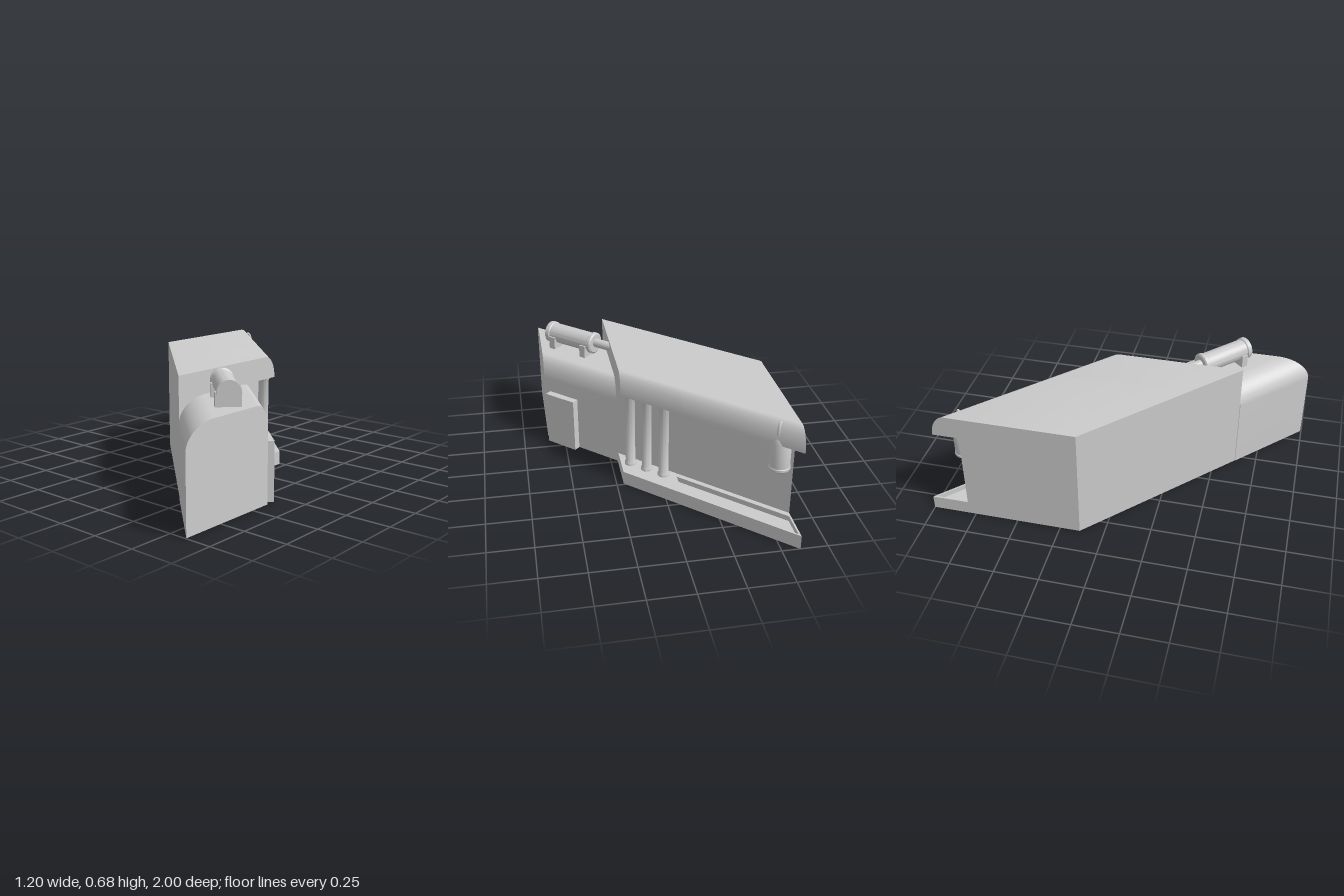
import * as THREE from 'three';
import { toCreasedNormals } from 'three/addons/utils/BufferGeometryUtils.js';

const SLOPE = 0.94;                       // how far z shifts per unit of x
const ANGLE = -Math.atan(SLOPE);          // heading of the slanted walls
const grey = new THREE.MeshStandardMaterial({ color: 0xcccccc });

function add(parent, name, geometry, x = 0, y = 0, z = 0) {
  const mesh = new THREE.Mesh(geometry, grey);
  mesh.name = name;
  mesh.position.set(x, y, z);
  parent.add(mesh);
  return mesh;
}

// Sweeps a (-z, y) profile from x0 to x1, sliding it in z; zRef is the x where the profile is given
function slantedSweep(shape, x0, x1, zRef) {
  const g = new THREE.ExtrudeGeometry(shape, { depth: x1 - x0, bevelEnabled: false, curveSegments: 10 });
  g.rotateY(Math.PI / 2);
  g.translate(x0, 0, 0);
  const p = g.attributes.position;
  for (let i = 0; i < p.count; i++) p.setZ(i, p.getZ(i) + SLOPE * (p.getX(i) - zRef));
  return toCreasedNormals(g, 0.6);
}

// C-shaped section of the hall: ledge, recessed wall and rounded canopy
function hallProfile(tray) {
  const s = new THREE.Shape();
  s.moveTo(-0.625, 0);
  s.lineTo(0.24, 0);
  s.lineTo(0.24, 0.08);
  if (tray) {
    s.lineTo(0.228, 0.08);
    s.lineTo(0.228, 0.05);
    s.lineTo(0.07, 0.05);
    s.lineTo(0.07, 0.08);
  }
  s.lineTo(0.03, 0.08);
  s.lineTo(0.03, 0.54);
  s.lineTo(0.18, 0.54);
  s.absellipse(0.1, 0.54, 0.08, 0.127, 0, Math.PI / 2, false);
  s.lineTo(-0.625, 0.667);
  s.closePath();
  return s;
}

// Round-shouldered section of the low annex
function annexProfile() {
  const s = new THREE.Shape();
  s.moveTo(-0.995, 0);
  s.lineTo(-0.38, 0);
  s.lineTo(-0.38, 0.41);
  s.absellipse(-0.47, 0.41, 0.09, 0.13, 0, Math.PI / 2, false);
  s.lineTo(-0.795, 0.54);
  s.absellipse(-0.795, 0.41, 0.2, 0.13, Math.PI / 2, Math.PI, false);
  s.closePath();
  return s;
}

function turned(points, segments = 28) {
  const g = new THREE.LatheGeometry(points.map(([r, y]) => new THREE.Vector2(r, y)), segments);
  return toCreasedNormals(g, 0.6);
}

export function createModel() {
  const model = new THREE.Group();
  model.name = 'slantedBuilding';

  // Main hall in three spans, the middle one with a sunken tray in its ledge
  const hall = new THREE.Group();
  hall.name = 'hall';
  model.add(hall);
  add(hall, 'hallPlain', slantedSweep(hallProfile(false), -0.08, 0.21, 0.21));
  add(hall, 'hallTray', slantedSweep(hallProfile(true), -0.59, -0.08, 0.21));
  add(hall, 'hallEnd', slantedSweep(hallProfile(false), -0.6, -0.59, 0.21));

  // Annex with a door block on its back wall
  add(model, 'annex', slantedSweep(annexProfile(), 0.21, 0.6, 0.6));
  const door = add(model, 'door', new THREE.BoxGeometry(0.207, 0.33, 0.05), 0.507, 0.165, 0.27);
  door.rotation.y = ANGLE;

  // Columns between ledge and canopy
  const column = turned([[0, 0], [0.034, 0], [0.034, 0.012], [0.028, 0.022],
    [0.028, 0.438], [0.034, 0.448], [0.034, 0.46], [0, 0.46]]);
  for (let i = 0; i < 3; i++) add(model, 'column', column, 0.155 - 0.083 * i, 0.08, -0.15 - 0.077 * i);

  // Roof tank lying along the slant, with end caps, feed pipe and saddles
  const tank = new THREE.Group();
  tank.name = 'roofTank';
  tank.position.set(0.405, 0.62, 0.485);
  tank.rotation.y = ANGLE;
  model.add(tank);
  const barrel = turned([[0, -0.17], [0.055, -0.17], [0.064, -0.163], [0.064, -0.145], [0.058, -0.14],
    [0.058, 0.14], [0.064, 0.145], [0.064, 0.17], [0, 0.17]], 36);
  add(tank, 'barrel', barrel.rotateZ(-Math.PI / 2));
  const pipe = new THREE.CylinderGeometry(0.026, 0.026, 0.16, 24).rotateZ(Math.PI / 2);
  add(tank, 'feedPipe', pipe, -0.23, 0.005, 0);
  for (const x of [-0.115, 0.115]) add(tank, 'saddle', new THREE.BoxGeometry(0.04, 0.075, 0.135), x, -0.043, 0);

  // Canister hung under the canopy, its handle rising in front of the eave
  const canister = new THREE.Group();
  canister.name = 'canister';
  canister.position.set(-0.52, 0.375, -0.8);
  canister.rotation.y = ANGLE;
  model.add(canister);
  add(canister, 'canisterBody', turned([[0, 0.012], [0.022, 0.012], [0.026, 0], [0.05, 0], [0.058, 0.008],
    [0.058, 0.02], [0.055, 0.024], [0.055, 0.17], [0.045, 0.2], [0.022, 0.218], [0.018, 0.25], [0, 0.25]]));
  const hook = new THREE.CatmullRomCurve3([[0, 0.22, 0], [0, 0.265, -0.005], [0, 0.28, -0.022],
    [0, 0.262, -0.036], [0, 0.215, -0.038]].map((p) => new THREE.Vector3(...p)));
  add(canister, 'hook', new THREE.TubeGeometry(hook, 16, 0.008, 10));
  add(canister, 'lever', new THREE.BoxGeometry(0.07, 0.012, 0.016), 0.012, 0.25, -0.015);

  return model;
}
